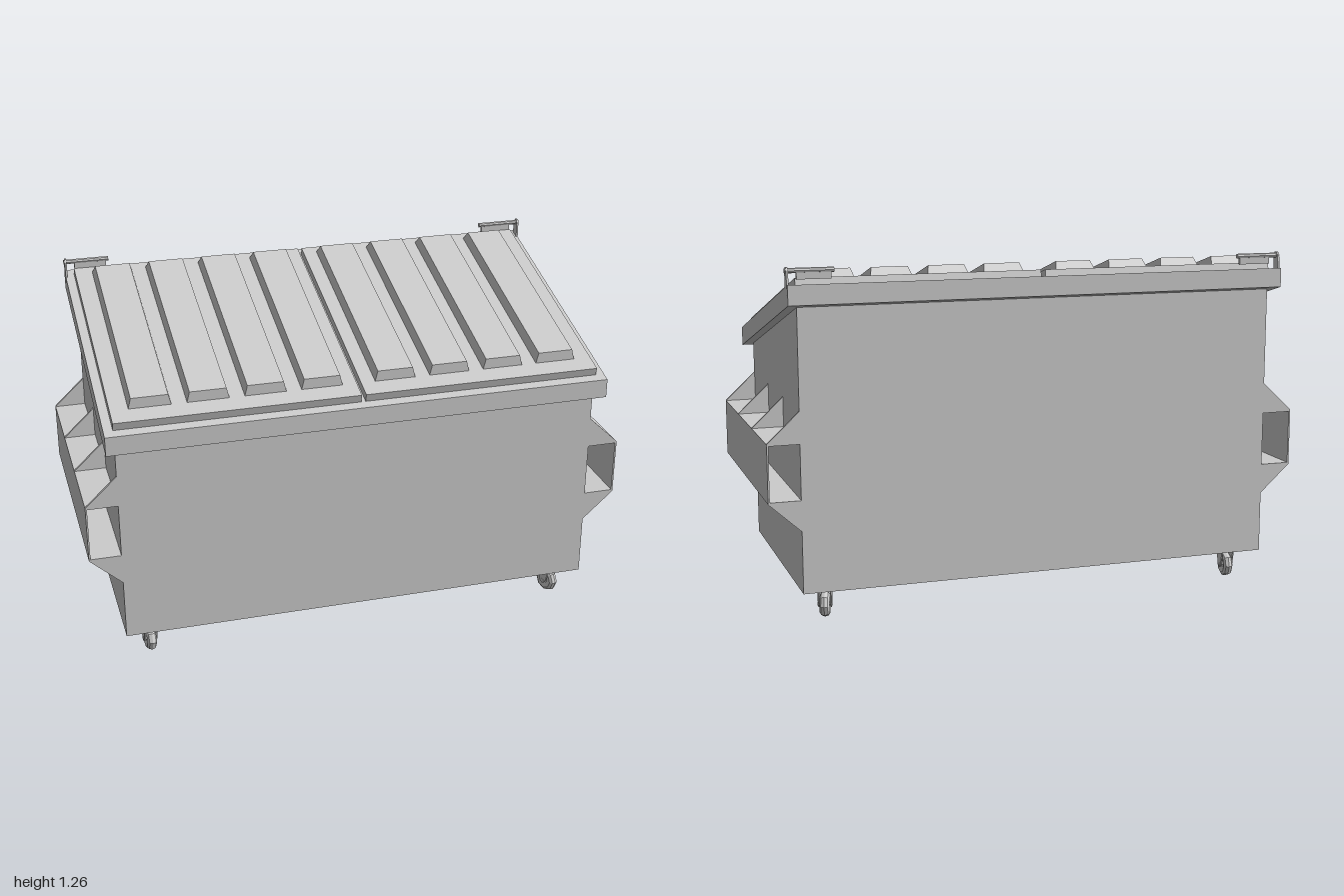
import * as THREE from 'three';

const material = new THREE.MeshStandardMaterial({ color: 0xcccccc, flatShading: true, side: THREE.DoubleSide });

function add(parent, name, geometry, x = 0, y = 0, z = 0) {
  const mesh = new THREE.Mesh(geometry, material);
  mesh.name = name;
  mesh.position.set(x, y, z);
  parent.add(mesh);
  return mesh;
}

function group(parent, name, x = 0, y = 0, z = 0) {
  const g = new THREE.Group();
  g.name = name;
  g.position.set(x, y, z);
  parent.add(g);
  return g;
}

const shapeOf = (points) => new THREE.Shape(points.map(([a, b]) => new THREE.Vector2(a, b)));

// Extrudes an outline, centred on its depth
function slab(shape, depth) {
  const g = new THREE.ExtrudeGeometry(shape, { depth, bevelEnabled: false, curveSegments: 6 });
  return g.translate(0, 0, -depth / 2);
}

// Same, but the outline is given as (z, y) and the depth runs along x
const sideSlab = (shape, width) => slab(shape, width).rotateY(-Math.PI / 2);

// Raised lid rib: a box whose top is drawn in on all sides
function ribGeometry() {
  const g = new THREE.BoxGeometry(0.15, 0.037, 0.83);
  const p = g.attributes.position;
  for (let i = 0; i < p.count; i++) {
    if (p.getY(i) < 0) continue;
    p.setX(i, p.getX(i) * 0.87);
    p.setZ(i, p.getZ(i) > 0 ? 0.405 : -0.398);
  }
  g.computeVertexNormals();
  return g;
}

// Swivelling caster with an eight-sided wheel held in a tapered fork
function addCaster(parent, x, z, swivel) {
  const caster = group(parent, 'caster', x, 0, z);
  caster.rotation.y = swivel;
  const tyre = [[0.012, -0.012], [0.034, -0.018], [0.044, -0.012], [0.048, 0], [0.044, 0.012], [0.034, 0.018], [0.012, 0.012]];
  const wheel = new THREE.LatheGeometry(tyre.map(([r, h]) => new THREE.Vector2(r, h)), 8);
  add(caster, 'wheel', wheel.rotateZ(Math.PI / 2), 0, 0.048, 0);
  add(caster, 'axle', new THREE.CylinderGeometry(0.008, 0.008, 0.052, 8).rotateZ(Math.PI / 2), 0, 0.048, 0);
  const cheek = shapeOf([[-0.032, 0.12], [-0.014, 0.045], [0, 0.036], [0.014, 0.045], [0.032, 0.12]]);
  for (const s of [-1, 1]) add(caster, 'forkCheek', sideSlab(cheek, 0.005), s * 0.022, 0, 0);
  add(caster, 'forkPlate', new THREE.BoxGeometry(0.049, 0.01, 0.064), 0, 0.115, 0);
}

// Fork pocket: a sleeve open at both ends, braced by triangular gussets
function addPocket(parent, s) {
  const pocket = group(parent, 'forkPocket');
  const [inner, outer, low, high] = [0.885, 1, 0.45, 0.66];
  const mid = (inner + outer) / 2;
  add(pocket, 'pocketOuterWall', new THREE.BoxGeometry(0.006, high - low, 0.89), s * (outer - 0.003), (low + high) / 2, 0);
  for (const y of [low + 0.003, high - 0.003]) {
    add(pocket, 'pocketShelf', new THREE.BoxGeometry(outer - inner, 0.006, 0.89), s * mid, y, 0);
  }
  for (const z of [-0.44, -0.145, 0.145, 0.44]) {
    for (const [base, tip] of [[high, 0.768], [low, 0.345]]) {
      const gusset = shapeOf([[s * inner, base], [s * outer, base], [s * inner, tip]]);
      add(pocket, 'gusset', slab(gusset, 0.01), 0, 0, z);
    }
  }
}

// Hinge: upright lug on the rim end, with a rod reaching over the lid
function addHinge(parent, s) {
  const hinge = group(parent, 'hinge');
  const lug = shapeOf([[-0.475, 1.17], [-0.433, 1.17], [-0.433, 1.252], [-0.44, 1.262], [-0.454, 1.262], [-0.462, 1.252]]);
  add(hinge, 'hingeLug', sideSlab(lug, 0.007), s * 0.918, 0, 0);
  add(hinge, 'hingeRod', new THREE.CylinderGeometry(0.009, 0.009, 0.17, 8).rotateZ(Math.PI / 2), s * 0.84, 1.25, -0.448);
  add(hinge, 'hingeStrap', new THREE.BoxGeometry(0.12, 0.03, 0.012), s * 0.825, 1.235, -0.448);
}

export function createModel() {
  const model = new THREE.Group();
  model.name = 'dumpster';

  // Container with a sloping top, and the overhanging rim
  const body = shapeOf([[0.445, 0.12], [0.445, 0.91], [-0.445, 1.155], [-0.445, 0.12]]);
  add(model, 'body', sideSlab(body, 1.77));
  const rim = shapeOf([[0.485, 0.87], [0.485, 0.94], [-0.482, 1.205], [-0.482, 1.135]]);
  add(model, 'rim', sideSlab(rim, 1.842));

  // Pair of ribbed lids lying on the slope
  const lids = group(model, 'lids', 0, 1.073, 0);
  lids.rotation.x = Math.atan2(0.265, 0.967);
  const rib = ribGeometry();
  for (const s of [-1, 1]) {
    const lid = group(lids, s > 0 ? 'leftLid' : 'rightLid');
    add(lid, 'lidPanel', new THREE.BoxGeometry(0.88, 0.03, 0.931), s * 0.448, 0.015, 0.0035);
    for (let i = 0; i < 4; i++) add(lid, 'lidRib', rib, s * (0.135 + i * 0.2045), 0.0485, -0.014);
  }

  for (const s of [-1, 1]) {
    addPocket(model, s);
    addHinge(model, s);
    addCaster(model, s * 0.79, 0.362, s > 0 ? 0.4 : 0.1);
    addCaster(model, s * 0.79, -0.351, s > 0 ? -0.3 : -0.1);
  }
  return model;
}
